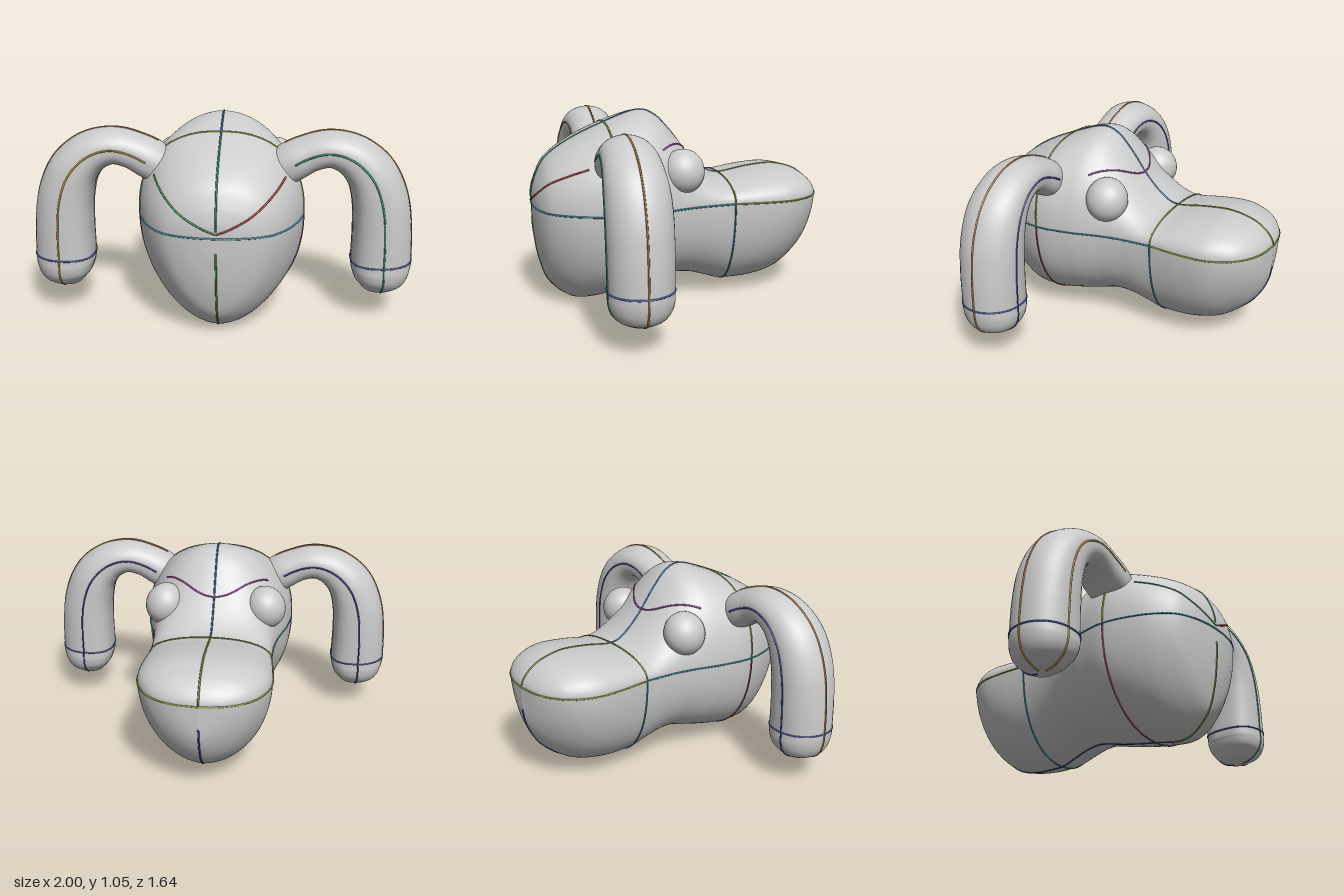
import * as THREE from 'three';

const grey = new THREE.MeshStandardMaterial({ color: 0xcccccc });
const MID = 0.555;

// Body stations from front to back: z, top y, bottom y, half width,
// and the roundness above and below the widest line (1 is an ellipse, less is boxier)
const BODY = [
  [0.815, 0.59, 0.48, 0, 0.95, 1.2], [0.81, 0.64, 0.4, 0.09, 0.95, 1.2], [0.785, 0.72, 0.24, 0.2, 0.95, 1.2],
  [0.73, 0.81, 0.1, 0.29, 0.92, 1.15], [0.6, 0.9, 0.005, 0.375, 0.88, 1.05], [0.41, 0.985, 0.03, 0.43, 0.85, 0.91],
  [0.23, 1.045, 0.065, 0.41, 1, 0.91], [0.13, 1.02, 0.09, 0.385, 1.05, 0.91], [0.04, 0.93, 0.11, 0.36, 1.05, 0.91],
  [-0.06, 0.8, 0.1, 0.342, 1, 0.91], [-0.16, 0.705, 0.07, 0.335, 0.95, 0.91], [-0.25, 0.67, 0.045, 0.333, 0.9, 0.91],
  [-0.42, 0.695, 0.05, 0.348, 0.9, 0.95], [-0.57, 0.705, 0.085, 0.343, 0.9, 1.05], [-0.69, 0.68, 0.17, 0.29, 0.92, 1.15],
  [-0.76, 0.64, 0.26, 0.215, 0.95, 1.2], [-0.8, 0.595, 0.35, 0.12, 0.95, 1.2], [-0.815, 0.556, 0.43, 0, 0.95, 1.2],
];

// Arm stations from shoulder to tip: x, y, half thickness, half depth in z
const ARM = [
  [0.13, 0.67, 0.06, 0.06], [0.33, 0.815, 0.1, 0.12], [0.46, 0.885, 0.095, 0.125], [0.57, 0.905, 0.095, 0.135],
  [0.68, 0.865, 0.11, 0.145], [0.77, 0.77, 0.13, 0.157], [0.82, 0.63, 0.145, 0.162], [0.837, 0.47, 0.153, 0.162],
  [0.84, 0.31, 0.157, 0.16], [0.842, 0.255, 0.152, 0.16], [0.842, 0.205, 0.135, 0.145],
  [0.84, 0.165, 0.1, 0.11], [0.84, 0.14, 0.058, 0.065], [0.84, 0.13, 0, 0],
];

const curve = (rows, pick) =>
  new THREE.CatmullRomCurve3(rows.map((r) => new THREE.Vector3(...pick(r))), false, 'catmullrom');
const profile = curve(BODY, (r) => [r[0], r[1], r[2]]);
const section = curve(BODY, (r) => [r[3], r[4], r[5]]);
const path = curve(ARM, (r) => [r[0], r[1], 0]);
const radii = curve(ARM, (r) => [r[2], r[3], 0]);
const bend = (v, p) => Math.sign(v) * Math.abs(v) ** p;

// Point on the body: t runs front to back, a goes round the section
function bodyPoint(t, a) {
  const { x: z, y: top, z: bottom } = profile.getPoint(t);
  const { x: w, y: above, z: below } = section.getPoint(t);
  const mid = THREE.MathUtils.clamp(MID, bottom, top);
  const c = Math.cos(a), s = Math.sin(a);
  const p = s < 0 ? below : above;
  const h = s < 0 ? mid - bottom : top - mid;
  return new THREE.Vector3(Math.max(0, w) * bend(c, p), mid + h * bend(s, p), z);
}

// Point on an arm: side is 1 for left, -1 for right; the inner half is boxier
function armPoint(side, t, a) {
  const p = path.getPoint(t), d = path.getTangent(t), r = radii.getPoint(t);
  const c = Math.cos(a), e = c < 0 ? 0.75 : 1;
  const n = r.x * bend(c, e);
  return new THREE.Vector3(side * (p.x - d.y * n), p.y + d.x * n, 0.4 - side * r.y * bend(Math.sin(a), e));
}

// Smooth closed skin through rings of points
function skin(point, rows, cols) {
  const pos = [], index = [];
  for (let i = 0; i <= rows; i++) {
    for (let j = 0; j < cols; j++) {
      pos.push(...point(i / rows, (j / cols) * Math.PI * 2).toArray());
      if (i === rows) continue;
      const k = (j + 1) % cols;
      const a = i * cols + j, b = a + cols, c = i * cols + k, d = c + cols;
      index.push(a, b, c, c, b, d);
    }
  }
  const g = new THREE.BufferGeometry();
  g.setAttribute('position', new THREE.Float32BufferAttribute(pos, 3));
  g.setIndex(index);
  g.computeVertexNormals();
  return g;
}

function add(parent, name, geometry, material = grey) {
  const mesh = new THREE.Mesh(geometry, material);
  mesh.name = name;
  parent.add(mesh);
  return mesh;
}

// Thin coloured guide line lying on a surface
function seam(parent, name, color, fn) {
  const pts = Array.from({ length: 33 }, (_, i) => fn(i / 32));
  const tube = new THREE.TubeGeometry(new THREE.CatmullRomCurve3(pts), 64, 0.005, 6);
  add(parent, name, tube, new THREE.MeshStandardMaterial({ color }));
}

export function createModel() {
  const model = new THREE.Group();
  const { lerp } = THREE.MathUtils;
  const UP = Math.PI / 2;
  const at = (station) => station / (BODY.length - 1);

  // Head and rear body in one skin
  add(model, 'body', skin(bodyPoint, 136, 64));

  // Lengthwise seams: name, colour, first station, last station, angle
  const lines = [
    ['foreheadSeam', 0x3a9c84, 0, 5, UP], ['crownSeam', 0x4477aa, 5, 11, UP], ['rearTopSeam', 0x8a9a3a, 11, 17, UP],
    ['chinSeam', 0x5a8f3c, 0, 5, -UP], ['bellySeam', 0x4a4a9c, 5, 17, -UP],
  ];
  for (const a of [0, Math.PI]) {
    lines.push(['sideSeam', 0x3a8c9c, 0, 11, a], ['rearSideSeam', 0x8a9a3a, 11, 17, a]);
  }
  for (const [name, color, from, to, a] of lines) {
    seam(model, name, color, (u) => bodyPoint(lerp(at(from), at(to), u), a));
  }

  // Seams around the head and the waist
  const hoops = [
    ['headHoopTop', 0x8a9a3a, 5, 0], ['headHoopBottom', 0x8a3a6a, 5, Math.PI],
    ['waistHoopTop', 0x6a8a3a, 11, 0], ['waistHoopBottom', 0x3a7c9c, 11, Math.PI],
  ];
  for (const [name, color, station, start] of hoops) {
    seam(model, name, color, (u) => bodyPoint(at(station), start + u * Math.PI));
  }

  // Curved seam at the nape
  seam(model, 'napeSeam', 0xa04a9c, (u) => {
    const v = 2 * u - 1;
    return bodyPoint(at(8.8 - 2 * v * v), UP + 0.85 * v);
  });

  for (const side of [1, -1]) {
    const label = side > 0 ? 'left' : 'right';

    // Drooping arm with a rounded tip
    const arm = new THREE.Group();
    arm.name = label + 'Arm';
    model.add(arm);
    add(arm, label + 'Limb', skin((t, a) => armPoint(side, t, a), 104, 36));
    const armLine = (a) => (u) => armPoint(side, lerp(0.1, 0.97, u), a);
    seam(arm, label + 'OuterSeam', 0xb07a3a, armLine(0));
    seam(arm, label + 'FrontSeam', side > 0 ? 0x3a9c6a : 0xb0903a, armLine(-side * UP));
    seam(arm, label + 'BackSeam', 0x4a4a9c, armLine(side * UP));
    seam(arm, label + 'TipHoop', 0x4a5a9c, (u) => armPoint(side, 8 / 13, u * Math.PI * 2));

    // Shoulder knob, sunk into the body behind the arm
    const knob = add(model, label + 'Knob', new THREE.SphereGeometry(1, 28, 20));
    knob.scale.set(0.11, 0.12, 0.115);
    knob.position.set(side * 0.285, 0.745, 0.035);
    knob.rotation.z = side * 0.35;

    // Slanted seam from the nose up to the shoulder
    const a = side > 0 ? 0.63 : Math.PI - 0.63;
    seam(model, label + 'CheekSeam', side > 0 ? 0xb0504a : 0x4a9c5a, (u) => bodyPoint(lerp(0, at(4.3), u), a));
  }
  return model;
}
